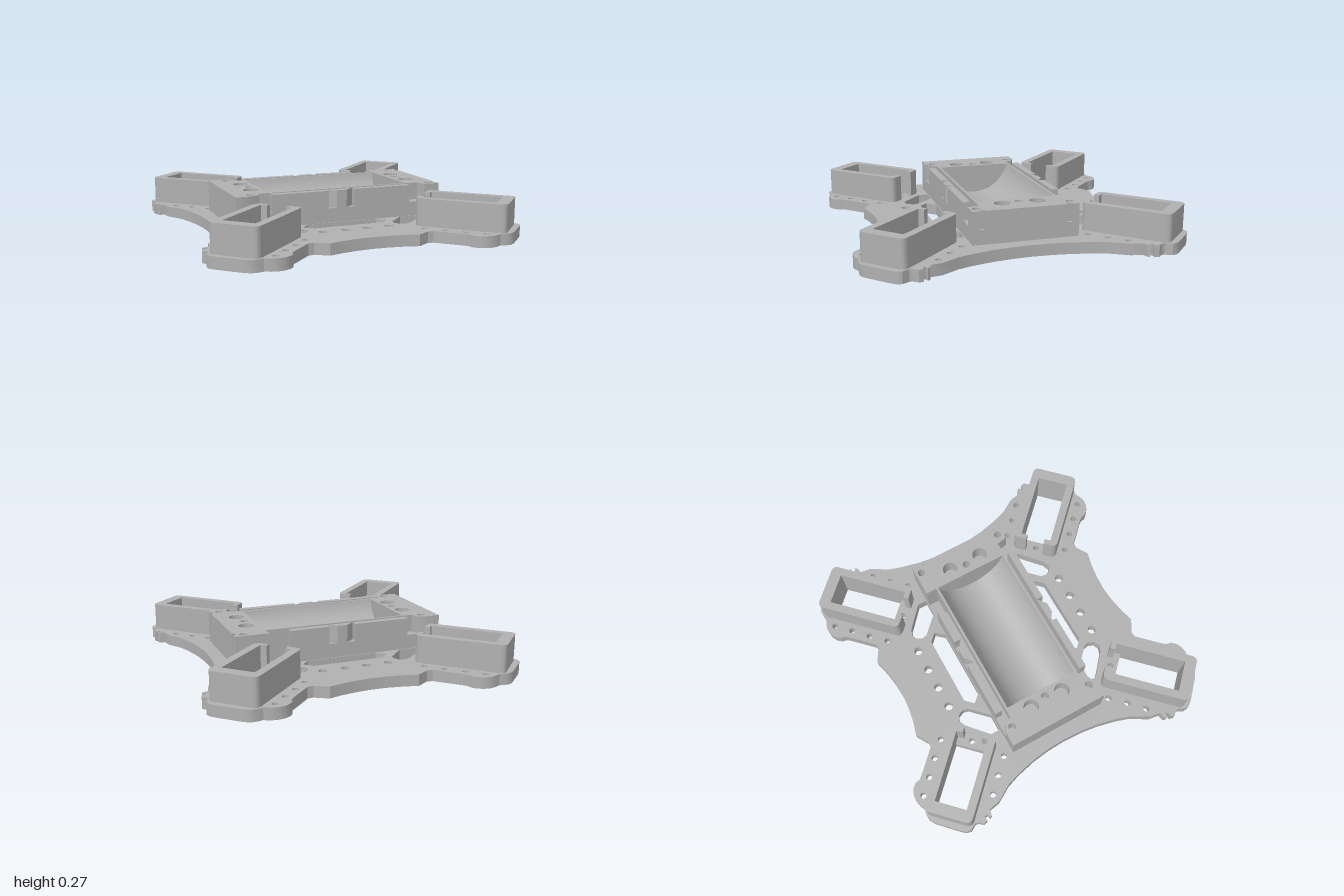
import * as THREE from 'three';
import { toCreasedNormals } from 'three/addons/utils/BufferGeometryUtils.js';

const grey = new THREE.MeshStandardMaterial({ color: 0xb0b0b0 });
grey.name = 'plastic grey';

const PLATE = 0.07, STEP = 0.16, TOP = 0.27;

// Closed polygon, always counter-clockwise so that hole walls face inwards
const poly = (pts) => {
  const v = pts.map(([x, y]) => new THREE.Vector2(x, y));
  return new THREE.Shape(THREE.ShapeUtils.isClockWise(v) ? v.reverse() : v);
};
const rect = (x0, x1, y0, y1) => poly([[x0, y0], [x1, y0], [x1, y1], [x0, y1]]);
const circle = (x, y, r) => {
  const p = new THREE.Shape();
  p.absarc(x, y, r, 0, Math.PI * 2);
  return p;
};

// Extrude a shape drawn in x,z between two heights
function slab(name, shape, y0, y1, holes = []) {
  shape.holes.push(...holes);
  let g = new THREE.ExtrudeGeometry(shape, { depth: y1 - y0, bevelEnabled: false, curveSegments: 10 });
  g.rotateX(Math.PI / 2).translate(0, y1, 0);
  g = toCreasedNormals(g, 0.6);
  const m = new THREE.Mesh(g, grey);
  m.name = name;
  return m;
}

const QUADS = [[1, 1], [1, -1], [-1, -1], [-1, 1]];

// Base plate: one quarter outline mirrored into four
function basePlate() {
  const quarter = [
    [0, 0.765], [0.1, 0.772], [0.2, 0.788], [0.28, 0.81], [0.36, 0.762], [0.395, 0.765],
    [0.525, 0.895], [0.545, 0.92], [0.55, 0.95], [0.575, 0.978], [0.61, 0.995], [0.65, 1.0], [0.685, 0.992],
    [0.72, 0.975], [0.755, 0.982], [0.79, 0.982], [0.825, 0.96], [0.945, 0.845], [0.97, 0.815], [0.975, 0.785],
    [0.952, 0.745], [0.955, 0.725], [0.978, 0.7], [0.972, 0.672], [0.945, 0.672], [0.94, 0.655], [0.965, 0.648],
    [0.955, 0.632], [0.92, 0.625], [0.908, 0.555], [0.845, 0.45], [0.815, 0.36], [0.787, 0.24], [0.771, 0.12], [0.766, 0],
  ];
  const outline = [];
  QUADS.forEach(([sx, sz], i) => {
    const q = quarter.map(([x, z]) => [x * sx, z * sz]);
    if (i % 2) q.reverse();
    outline.push(...q.slice(1));
  });

  const holes = [];
  const screws = [[0.645, 0.945], [0.56, 0.86], [0.47, 0.775], [0.382, 0.685], [0.49, 0.516],
    [0.85, 0.563], [0.76, 0.478], [0.672, 0.388]];
  const motor = [[0.455, 0.616], [0.597, 0.473], [0.877, 0.756], [0.735, 0.898]];
  const cutout = [[0.29, 0.44], [0.282, 0.475], [0.3, 0.51], [0.335, 0.525], [0.375, 0.51], [0.51, 0.39],
    [0.51, 0.33], [0.4, 0.33]];
  for (const [sx, sz] of QUADS) {
    const flip = (pts) => pts.map(([x, z]) => [x * sx, z * sz]);
    flip(screws).forEach(([x, z]) => holes.push(circle(x, z, 0.019)));
    flip([[0.07, 0.54], [0.215, 0.54]]).forEach(([x, z]) => holes.push(circle(x, z, 0.027)));
    holes.push(poly(flip(motor)), poly(flip(cutout)));
  }
  for (const s of [1, -1]) {
    holes.push(poly([[-0.23, 0.435], [0.23, 0.435], [0.28, 0.385], [0.23, 0.33], [-0.23, 0.33], [-0.28, 0.385]]
      .map(([x, z]) => [x, z * s])));
  }
  return slab('basePlate', poly(outline), 0, PLATE, holes);
}

// Motor housing: rounded wall open in the middle of its inner end
function motorHousing() {
  const a = -0.28, b = 0.272, w = 0.15, r = 0.04, gap = 0.06, v = 0.1;
  const s = new THREE.Shape();
  s.moveTo(a, gap);
  s.lineTo(a, w - r);
  s.quadraticCurveTo(a, w, a + r, w);
  s.lineTo(b - r, w);
  s.quadraticCurveTo(b, w, b, w - r);
  s.lineTo(b, r - w);
  s.quadraticCurveTo(b, -w, b - r, -w);
  s.lineTo(a + r, -w);
  s.quadraticCurveTo(a, -w, a, r - w);
  s.lineTo(a, -gap);
  s.lineTo(a + 0.035, -gap);
  s.lineTo(a + 0.035, -v);
  s.lineTo(0.2, -v);
  s.lineTo(0.2, v);
  s.lineTo(a + 0.035, v);
  s.lineTo(a + 0.035, gap);
  return slab('motorHousing', s, PLATE, 0.24);
}

// Trough with a round bed, running along x
function cradle(x0, x1) {
  const w = 0.255, e = 0.24, cy = 0.327;
  const R = Math.hypot(e, cy - TOP), a = Math.atan2(TOP - cy, e);
  const s = new THREE.Shape();
  s.moveTo(-w, PLATE);
  s.lineTo(w, PLATE);
  s.lineTo(w, TOP);
  s.lineTo(e, TOP);
  s.absarc(0, cy, R, a, -Math.PI - a, true);
  s.lineTo(-w, TOP);
  let g = new THREE.ExtrudeGeometry(s, { depth: x1 - x0, bevelEnabled: false, curveSegments: 32 });
  g.rotateY(Math.PI / 2).translate(x0, 0, 0);
  g = toCreasedNormals(g, 0.5);
  const m = new THREE.Mesh(g, grey);
  m.name = 'cradleTrough';
  return m;
}

// Battery tray: trough, side walls with a wire channel, and two end blocks
function batteryTray() {
  const tray = new THREE.Group();
  tray.name = 'batteryTray';
  const L = -0.455, Rt = 0.47, W = 0.325, c0 = 0.255, c1 = 0.28;
  tray.add(cradle(L, Rt));

  for (const s of [1, -1]) {
    // the back wall stops short to leave a cable notch
    const end = s > 0 ? Rt : 0.335;
    const side = (x0, x1, z0, z1) => rect(x0, x1, s * z0, s * z1);
    tray.add(slab('channelLedge', side(L, end, c0, W), PLATE, STEP));
    tray.add(slab('sideWall', side(L, -0.09, c1, W), STEP, TOP));
    tray.add(slab('sideWall', side(0.085, end, c1, W), STEP, TOP));
    tray.add(slab('wallTooth', poly([[-0.09, s * c1], [0.085, s * c1], [0.03, s * W], [-0.035, s * W]]), STEP, TOP));
  }

  // Left end block: front corner is relieved beside the screw, back corner is full
  tray.add(slab('endBlockBase', rect(Rt, 0.68, -W, W), PLATE, STEP));
  const slot = [[0.68, c1 + 0.003], [0.662, c1 + 0.003], [0.662, 0.25], [0.68, 0.25]];
  const front = [[Rt, c0], [0.56, c0], [0.575, W], [0.68, W], ...slot];
  const back = [[Rt, -W], [0.68, -W], ...slot.map(([x, z]) => [x, -z])];
  tray.add(slab('endBlockTop', poly([...front, ...back.reverse()]), STEP, TOP, [
    circle(0.62, 0.287, 0.024), circle(0.62, -0.287, 0.024),
    circle(0.55, 0.11, 0.048), circle(0.55, -0.11, 0.048), circle(0.53, 0, 0.024),
  ]));

  // Right end block: both corners relieved beside the screws
  tray.add(slab('endBlockBase', rect(-0.68, L, -W, W), PLATE, STEP));
  const half = [[L, c0], [-0.52, c0], [-0.53, 0.3], [-0.59, W], [-0.68, W]];
  tray.add(slab('endBlockTop', poly([...half, ...half.map(([x, z]) => [x, -z]).reverse()]), STEP, TOP, [
    circle(-0.575, 0.275, 0.024), circle(-0.575, -0.275, 0.024),
    circle(-0.523, 0.11, 0.048), circle(-0.523, -0.11, 0.048), circle(-0.503, 0, 0.024),
  ]));
  return tray;
}

export function createModel() {
  const model = new THREE.Group();
  model.name = 'droneFrame';
  model.add(basePlate(), batteryTray());
  for (const [sx, sz] of QUADS) {
    const h = motorHousing();
    h.position.set(0.666 * sx, 0, 0.685 * sz);
    h.rotation.y = Math.atan2(-sz, sx);
    model.add(h);
  }
  return model;
}
